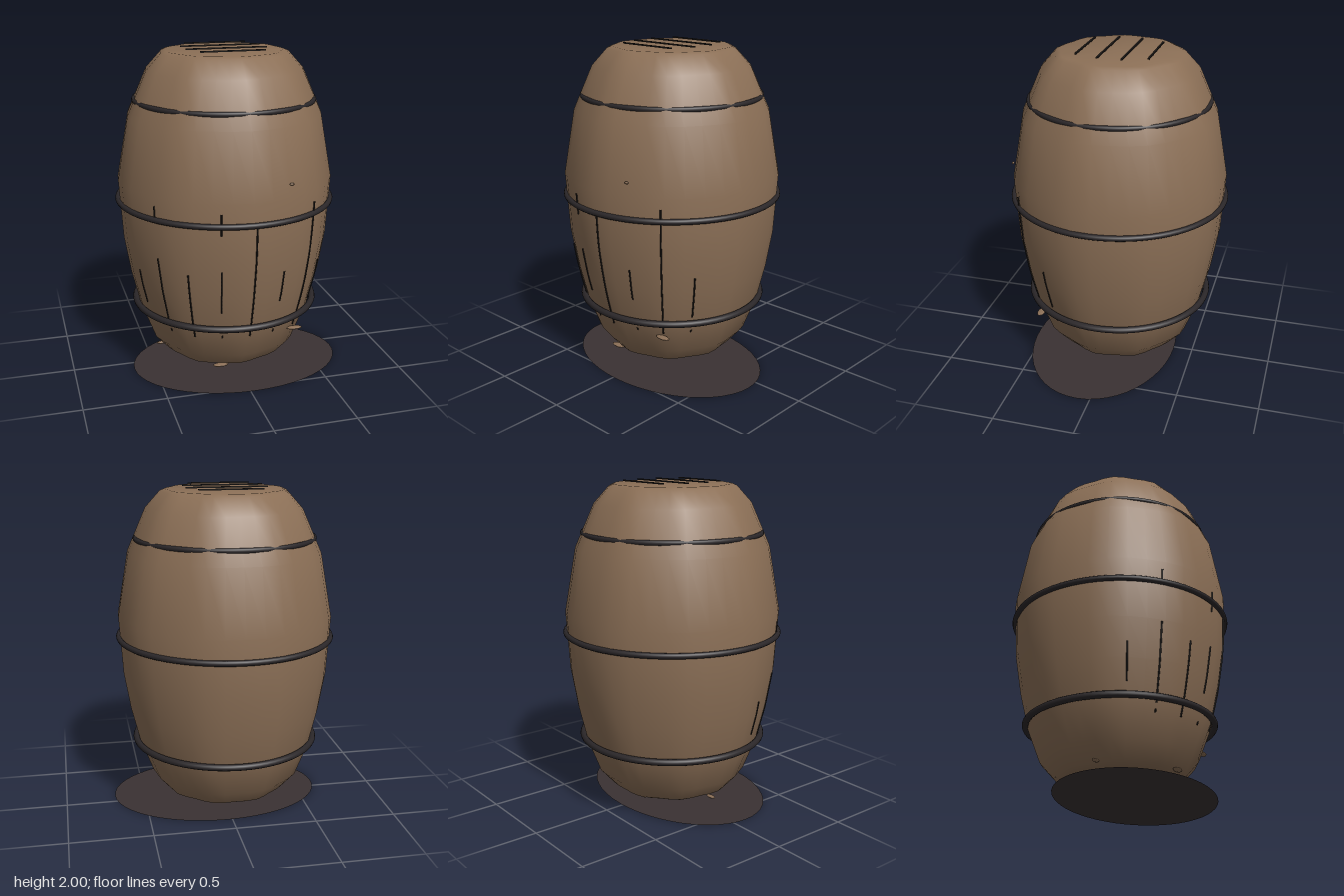
import * as THREE from 'three';
import { toCreasedNormals } from 'three/addons/utils/BufferGeometryUtils.js';

const mat = (name, color) => new THREE.MeshStandardMaterial({ name, color });

// Barrel profile: [radius, height]
const PROFILE = [
  [0.355, 0.095], [0.385, 0.11], [0.47, 0.205], [0.545, 0.4], [0.6, 0.63], [0.638, 0.86],
  [0.66, 1.22], [0.592, 1.61], [0.478, 1.87], [0.388, 1.97], [0.36, 1.982],
];
const CX = -0.02; // axis of the barrel

// Nine broad staves: the wall is slightly flatter midway between the stave edges
const flatten = (r, a) => {
  const depth = THREE.MathUtils.mapLinear(r, 0.36, 0.66, 0.045, 0.012);
  return r * (1 - depth * (1 - Math.cos(9 * a)) / 2);
};

// Wall radius at a height and an angle from the front
function wallRadius(y, a) {
  let i = 0;
  while (i < PROFILE.length - 2 && PROFILE[i + 1][1] < y) i++;
  const [r0, y0] = PROFILE[i], [r1, y1] = PROFILE[i + 1];
  return flatten(THREE.MathUtils.mapLinear(y, y0, y1, r0, r1), a);
}

function wallPoint(y, a, lift = 0) {
  const r = wallRadius(y, a) + lift;
  return new THREE.Vector3(r * Math.sin(a), y, r * Math.cos(a));
}

function barrelGeometry() {
  const points = [[0, 0.095], ...PROFILE, [0, 1.982]].map(([r, y]) => new THREE.Vector2(r, y));
  const geo = new THREE.LatheGeometry(points, 36);
  const p = geo.attributes.position;
  for (let i = 0; i < p.count; i++) {
    const x = p.getX(i), z = p.getZ(i), r = Math.hypot(x, z);
    if (r < 0.01) continue;
    const k = flatten(r, Math.atan2(x, z)) / r;
    p.setX(i, x * k);
    p.setZ(i, z * k);
  }
  return toCreasedNormals(geo, 0.6);
}

export function createModel() {
  const wood = mat('wood', 0x8b6f56);
  const iron = mat('iron', 0x2b2729);
  const seam = mat('seam', 0x1f1b19);
  const shade = mat('dark base', 0x3a3233);
  shade.side = THREE.DoubleSide;

  const model = new THREE.Group();
  const barrel = new THREE.Group();
  barrel.name = 'barrel';
  barrel.position.x = CX;
  model.add(barrel);

  const add = (parent, name, geo, material, x = 0, y = 0, z = 0) => {
    const mesh = new THREE.Mesh(geo, material);
    mesh.name = name;
    mesh.position.set(x, y, z);
    parent.add(mesh);
    return mesh;
  };

  add(barrel, 'barrelBody', barrelGeometry(), wood);

  // Iron hoops: [height, radius, thickness]
  for (const [y, r, t] of [[0.425, 0.563, 0.02], [1.088, 0.655, 0.017], [1.694, 0.539, 0.016]]) {
    add(barrel, 'hoop', new THREE.TorusGeometry(r, t, 10, 72).rotateX(Math.PI / 2), iron, 0, y);
  }

  // Stave seams on the front: [degrees from the front, lower height, upper height]
  const seams = [
    [0, 0.36, 1.08], [-18, 0.53, 0.81], [-18, 1.03, 1.16], [18, 0.57, 0.77], [36, 0.35, 1.16],
    [-36, 0.35, 0.78], [-54, 0.4, 0.85], [-54, 1.1, 1.17], [54, 0.46, 0.73], [-72, 0.5, 0.72],
    [-18, 0.35, 0.37], [18, 0.35, 0.37], [-54, 0.35, 0.37], [54, 0.35, 0.37],
  ];
  for (const [deg, y0, y1] of seams) {
    const a = THREE.MathUtils.degToRad(deg + 1.8);
    const path = [0, 0.25, 0.5, 0.75, 1].map(t => wallPoint(y0 + (y1 - y0) * t, a, 0.001));
    add(barrel, 'staveSeam', new THREE.TubeGeometry(new THREE.CatmullRomCurve3(path), 12, 0.005, 5), seam);
  }

  // Slats on the lid: [z, length]
  for (const [z, length] of [[-0.215, 0.385], [-0.075, 0.49], [0.07, 0.49], [0.21, 0.385]]) {
    add(barrel, 'lidLine', new THREE.BoxGeometry(length, 0.008, 0.011), seam, 0, 1.996, z);
  }

  // Small wood chips: [x, y, z, half length]
  const chips = [
    [0.31, 0.33, 0.43, 0.05], [-0.14, 0.108, 0.37, 0.05], [-0.43, 0.11, -0.02, 0.035],
    [-0.15, 0.108, -0.33, 0.04], [0.21, 1.3, 0.61, 0.014],
  ];
  for (const [x, y, z, r] of chips) {
    add(model, 'woodChip', new THREE.SphereGeometry(1, 10, 6), wood, x, y, z).scale.set(r, 0.008, r * 0.5);
  }

  // Flat oval patch the barrel stands over
  const base = new THREE.CircleGeometry(1, 48).rotateX(-Math.PI / 2);
  add(model, 'groundPatch', base, shade, 0.03, 0, 0.085).scale.set(0.66, 1, 0.465);

  return model;
}
